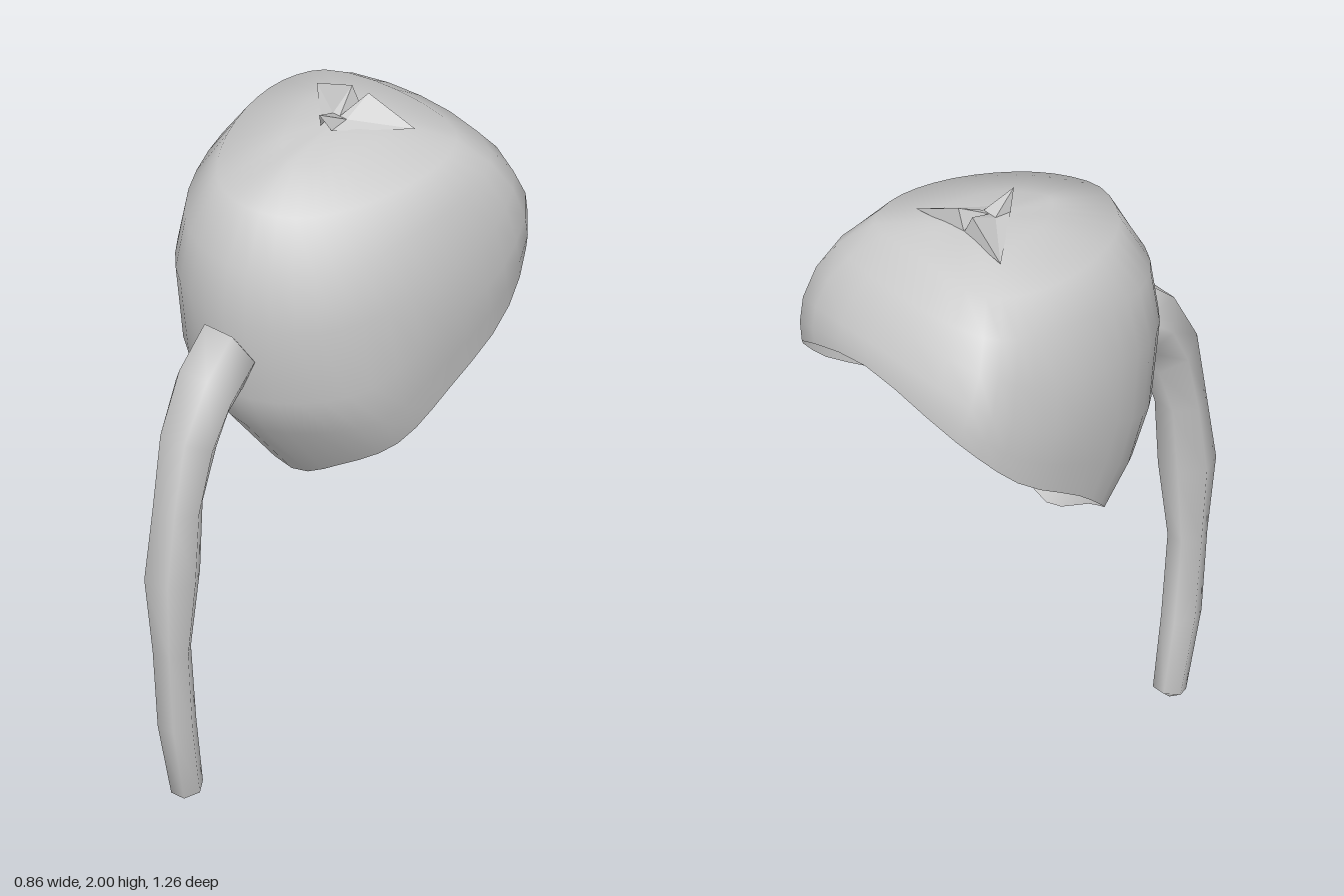
import * as THREE from 'three';

const grey = new THREE.MeshStandardMaterial({ color: 0xcccccc, side: THREE.DoubleSide });
grey.name = 'light grey';

// Skin closed rings of points; optional tips close the first and last ring.
function loft(rings, startTip, endTip) {
  const n = rings[0].length, pos = [], index = [];
  rings.flat().forEach(p => pos.push(p.x, p.y, p.z));
  for (let r = 0; r < rings.length - 1; r++) {
    for (let k = 0; k < n; k++) {
      const a = r * n + k, b = r * n + (k + 1) % n;
      index.push(a, b, a + n, b, b + n, a + n);
    }
  }
  const addTip = (tip, first, flip) => {
    const t = pos.length / 3;
    pos.push(tip.x, tip.y, tip.z);
    for (let k = 0; k < n; k++) {
      const a = first + k, b = first + (k + 1) % n;
      index.push(t, flip ? a : b, flip ? b : a);
    }
  };
  if (startTip) addTip(startTip, 0, false);
  if (endTip) addTip(endTip, (rings.length - 1) * n, true);
  const g = new THREE.BufferGeometry();
  g.setAttribute('position', new THREE.Float32BufferAttribute(pos, 3));
  g.setIndex(index);
  g.computeVertexNormals();
  return g;
}

const V = (x, y, z) => new THREE.Vector3(x, y, z);

// Half rings of the hood, front to back, from the crown down to the open rim.
const HOOD = [
  [[0, 1.91, .05], [.05, 1.91, .02], [.1, 1.92, -.05], [.13, 1.925, -.15], [.14, 1.925, -.24], [.11, 1.925, -.3], [0, 1.92, -.32]],
  [[0, 1.855, .24], [.14, 1.85, .19], [.24, 1.86, .06], [.3, 1.875, -.12], [.3, 1.885, -.28], [.24, 1.89, -.39], [0, 1.91, -.42]],
  [[0, 1.7, .32], [.19, 1.7, .26], [.31, 1.72, .12], [.37, 1.77, -.1], [.37, 1.79, -.32], [.31, 1.82, -.46], [0, 1.84, -.52]],
  [[0, 1.53, .34], [.21, 1.53, .275], [.34, 1.55, .13], [.41, 1.6, -.1], [.41, 1.66, -.36], [.35, 1.74, -.51], [0, 1.78, -.57]],
  [[0, 1.27, .315], [.2, 1.28, .25], [.345, 1.32, .1], [.42, 1.44, -.12], [.425, 1.52, -.38], [.36, 1.65, -.55], [0, 1.71, -.61]],
  [[0, 1.12, .24], [.19, 1.14, .18], [.34, 1.18, .05], [.405, 1.3, -.15], [.42, 1.43, -.4], [.35, 1.58, -.57], [0, 1.67, -.625]],
  [[0, .87, .04], [.18, .96, .04], [.33, 1.06, -.03], [.395, 1.2, -.18], [.41, 1.36, -.42], [.33, 1.53, -.58], [0, 1.64, -.63]],
];

function hoodGeometry() {
  const rings = HOOD.map(half => {
    const left = half.map(([x, y, z]) => V(-x, y, z));
    const right = half.slice(1, -1).reverse().map(([x, y, z]) => V(x, y, z));
    const curve = new THREE.CatmullRomCurve3([...left, ...right], true);
    return Array.from({ length: 36 }, (_, k) => curve.getPoint(k / 36));
  });
  return loft(rings, V(0, 1.95, -.2));
}

// Stem sections: outer y, outer z, inner y, inner z, half width.
const STEM = [
  [1.5, .36, 1.33, .28, .1],
  [1.4, .47, 1.25, .38, .1],
  [1.23, .56, 1.16, .42, .088],
  [1.0, .6, 1.0, .475, .078],
  [.78, .632, .78, .49, .085],
  [.53, .61, .53, .515, .06],
  [.27, .59, .27, .49, .057],
  [.02, .537, .04, .455, .047],
];

function stemGeometry() {
  const rings = STEM.map(([oy, oz, iy, iz, w]) => Array.from({ length: 6 }, (_, k) => {
    const a = k * Math.PI / 3, s = Math.sin(a) / Math.sin(Math.PI / 3) / 2;
    return V(w * Math.cos(a), (oy + iy) / 2 + (oy - iy) * s, (oz + iz) / 2 + (oz - iz) * s);
  }));
  return loft(rings, V(0, 1.4, .26), V(0, 0, .495));
}

// Small folded crown: front and back peaks with a low leaf to each side.
function crownGeometry() {
  const tris = [];
  for (const s of [1, -1]) {
    const front = [0, 2, -.08], back = [s * .03, 1.995, -.26], mid = [s * .025, 1.95, -.17];
    const leaf = [s * .18, 1.925, -.285], root = [s * .02, 1.94, -.11], centre = [0, 1.95, -.17];
    const heel = [0, 1.93, -.265];
    tris.push(mid, root, leaf, mid, leaf, back, front, mid, root, front, centre, mid,
      back, heel, leaf, centre, mid, back, centre, back, heel);
  }
  const g = new THREE.BufferGeometry();
  g.setAttribute('position', new THREE.Float32BufferAttribute(tris.flat(), 3));
  g.computeVertexNormals();
  return g;
}

export function createModel() {
  const group = new THREE.Group();
  const parts = { hood: hoodGeometry(), stem: stemGeometry(), crown: crownGeometry() };
  for (const [name, geometry] of Object.entries(parts)) {
    const mesh = new THREE.Mesh(geometry, grey);
    mesh.name = name;
    group.add(mesh);
  }
  return group;
}
